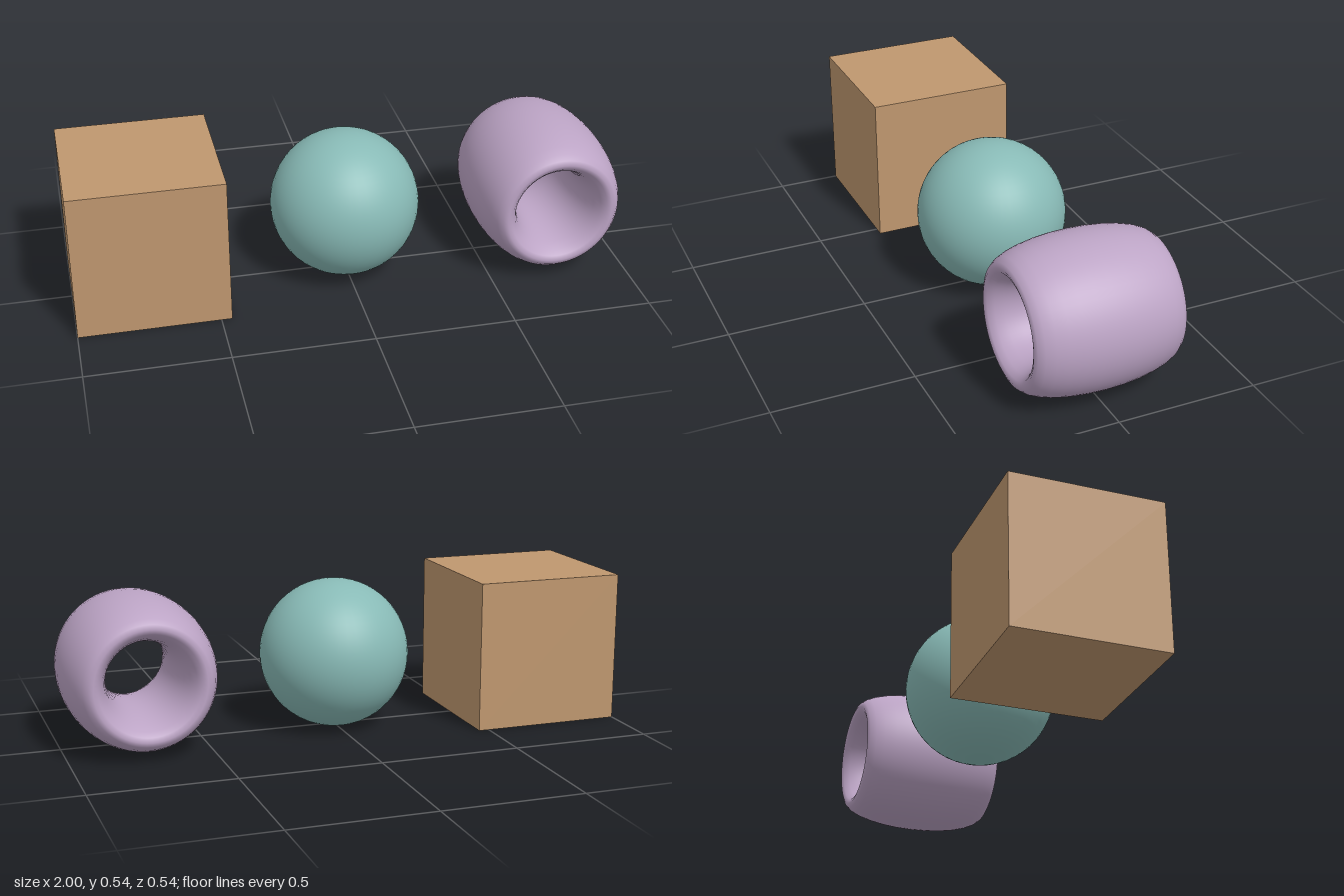
import * as THREE from 'three';

const SIZE = 0.538; // shared width, height and depth of every solid
const HALF = SIZE / 2;

function material(name, color) {
  const m = new THREE.MeshStandardMaterial({ color });
  m.name = name;
  return m;
}

export function createModel() {
  const group = new THREE.Group();
  group.name = 'threeSolids';

  const add = (name, geometry, mat, x) => {
    const mesh = new THREE.Mesh(geometry, mat);
    mesh.name = name;
    mesh.position.set(x, HALF, 0);
    group.add(mesh);
  };

  // Cube on the model's right
  add('cube', new THREE.BoxGeometry(SIZE, SIZE, SIZE), material('tan', 0xbf976f), -1 + HALF);

  // Sphere in the middle
  add('sphere', new THREE.SphereGeometry(HALF, 48, 32), material('teal', 0x88bab6), 0);

  // Ring on the model's left, stretched along z into a barrel
  const tube = 0.075;
  const ring = new THREE.TorusGeometry(HALF - tube, tube, 28, 64);
  ring.scale(1, 1, HALF / tube);
  ring.computeVertexNormals();
  // Share normals across the two seams so the surface stays smooth
  const { position, normal } = ring.attributes;
  const p = new THREE.Vector3();
  const n = new THREE.Vector3();
  for (let i = 0; i < position.count; i++) {
    p.fromBufferAttribute(position, i);
    const radius = Math.hypot(p.x, p.y);
    const k = (radius - (HALF - tube)) / (tube * tube) / radius;
    n.set(p.x * k, p.y * k, p.z / (HALF * HALF)).normalize();
    normal.setXYZ(i, n.x, n.y, n.z);
  }
  add('barrelRing', ring, material('mauve', 0xbca4c5), 1 - HALF);

  return group;
}
